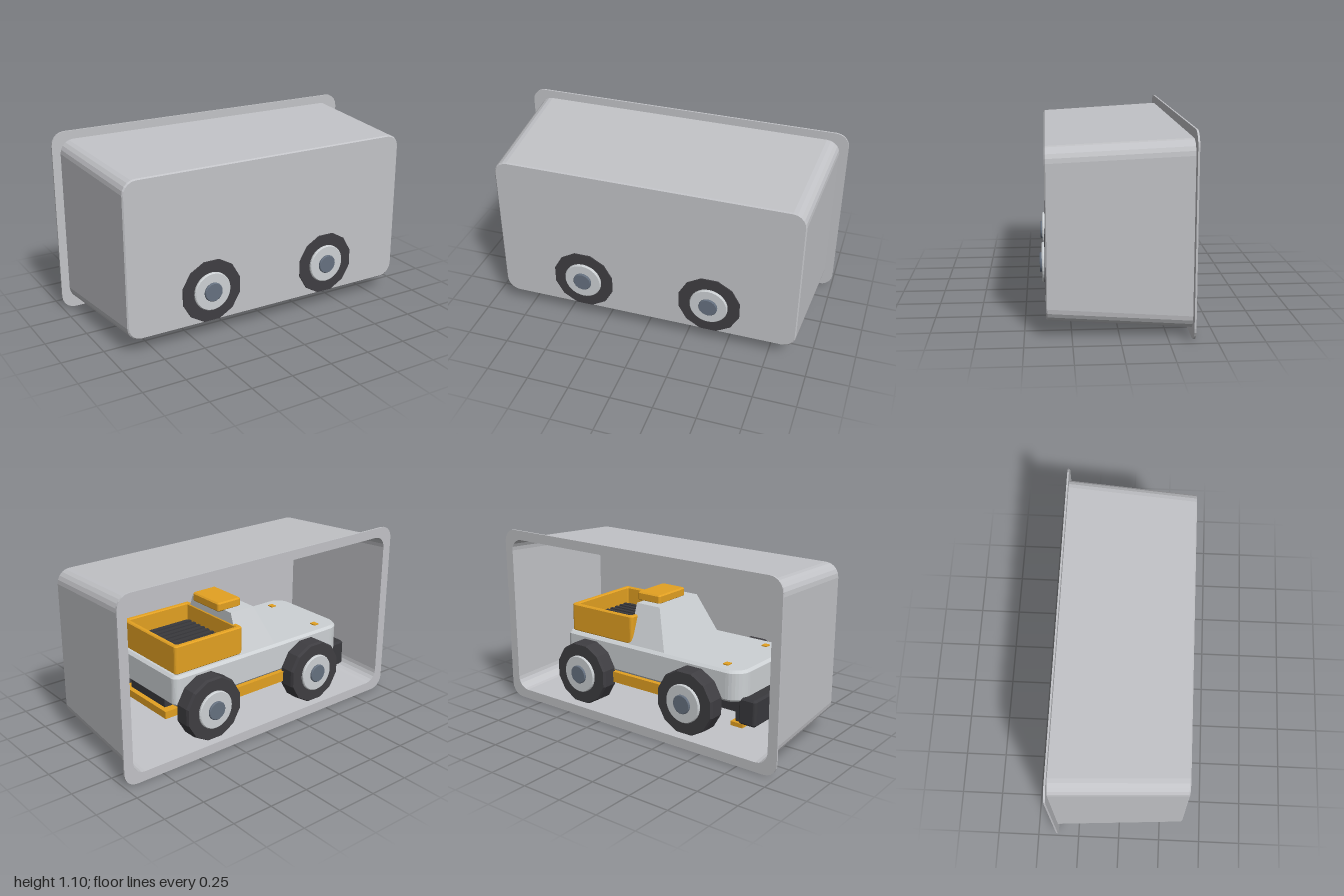
import * as THREE from 'three';

const paint = (name, color) => {
  const m = new THREE.MeshStandardMaterial({ color });
  m.name = name;
  return m;
};

// Separate the faces so every facet keeps a hard edge
function facet(geo) {
  const g = geo.index ? geo.toNonIndexed() : geo;
  g.computeVertexNormals();
  return g;
}

// Rounded rectangle as a shape, centred on the origin
function roundRect(hx, hy, rLeft, rRight, Type = THREE.Shape) {
  const s = new Type();
  s.absarc(hx - rRight, hy - rRight, rRight, 0, Math.PI / 2);
  s.absarc(-hx + rLeft, hy - rLeft, rLeft, Math.PI / 2, Math.PI);
  s.absarc(-hx + rLeft, -hy + rLeft, rLeft, Math.PI, Math.PI * 1.5);
  s.absarc(hx - rRight, -hy + rRight, rRight, Math.PI * 1.5, Math.PI * 2);
  s.closePath();
  return s;
}

// Plan outline extruded upwards with a small bevel
function slab(shape, y0, y1, bevel) {
  const g = new THREE.ExtrudeGeometry(shape, {
    depth: y1 - y0 - 2 * bevel, curveSegments: 4, bevelEnabled: bevel > 0,
    bevelSize: bevel, bevelOffset: -bevel, bevelThickness: bevel, bevelSegments: 1,
  });
  return g.rotateX(-Math.PI / 2).translate(0, y0 + bevel, 0);
}

// Skin stretched over rounded rectangles [halfX, halfY, radius, z]
function loft(sections, cy) {
  const steps = 5, n = 4 * (steps + 1), pos = [], idx = [];
  for (const [hx, hy, r, z] of sections) {
    [[1, 1], [-1, 1], [-1, -1], [1, -1]].forEach(([sx, sy], q) => {
      for (let k = 0; k <= steps; k++) {
        const a = (q + k / steps) * Math.PI / 2;
        pos.push(sx * (hx - r) + r * Math.cos(a), cy + sy * (hy - r) + r * Math.sin(a), z);
      }
    });
  }
  for (let i = 0; i < sections.length - 1; i++) {
    for (let j = 0; j < n; j++) {
      const a = i * n + j, b = i * n + (j + 1) % n;
      idx.push(a, b, b + n, a, b + n, a + n);
    }
  }
  const g = new THREE.BufferGeometry();
  g.setAttribute('position', new THREE.Float32BufferAttribute(pos, 3));
  g.setIndex(idx);
  return facet(g);
}

export function createModel() {
  const grey = paint('tray grey', 0xc2c3c7);
  const pale = paint('pale body grey', 0xcdd1d4);
  const yellow = paint('amber', 0xe3a122);
  const rubber = paint('tyre black', 0x3f3e42);
  const dark = paint('trim black', 0x39393d);
  const steel = paint('hub cap steel', 0x667180);

  const model = new THREE.Group();
  const truck = new THREE.Group();
  truck.name = 'truck';
  model.add(truck);
  const add = (name, geo, mat, parent = truck) => {
    const m = new THREE.Mesh(geo, mat);
    m.name = name;
    parent.add(m);
    return m;
  };
  const box = (name, mat, x0, x1, y0, y1, z0, z1) =>
    add(name, new THREE.BoxGeometry(x1 - x0, y1 - y0, z1 - z0)
      .translate((x0 + x1) / 2, (y0 + y1) / 2, (z0 + z1) / 2), mat);

  // Tapered tray, open at the back with a flat flange
  add('tray', loft([
    [0, 0, 0, 0.377],
    [0.9, 0.452, 0.075, 0.377],
    [0.942, 0.492, 0.075, -0.385],
    [1, 0.55, 0.08, -0.385],
    [1, 0.55, 0.08, -0.375],
    [0.95, 0.5, 0.08, -0.375],
    [0.909, 0.46, 0.08, 0.378],
    [0.902, 0.453, 0.075, 0.385],
    [0, 0, 0, 0.385],
  ], 0.55), grey, model);

  // Lower body with rounded nose corners
  add('body', slab(roundRect(0.645, 0.29, 0.1, 0.04), 0.31, 0.495, 0.015)
    .translate(-0.055, 0, 0), pale);

  // Cab: front and sides lean inwards
  const cab = new THREE.BoxGeometry(0.27, 0.24, 0.54).translate(-0.025, 0.61, 0);
  const p = cab.attributes.position;
  for (let i = 0; i < p.count; i++) {
    if (p.getY(i) > 0.6) {
      p.setZ(i, p.getZ(i) * 0.68);
      if (p.getX(i) < 0) p.setX(i, -0.06);
    }
  }
  add('cab', facet(cab), pale);
  add('roofBox', slab(roundRect(0.085, 0.125, 0.015, 0.015), 0.725, 0.78, 0.008)
    .translate(0.07, 0, 0), yellow);

  // Cargo bed
  const bed = roundRect(0.24, 0.265, 0.02, 0.02);
  bed.holes.push(roundRect(0.21, 0.235, 0.01, 0.01, THREE.Path));
  add('bedWalls', slab(bed, 0.495, 0.665, 0.006).translate(0.325, 0, 0), yellow);
  box('bedFloor', dark, 0.11, 0.54, 0.5, 0.56, -0.238, 0.238);
  for (let i = 0; i < 10; i++) {
    const z = -0.2 + i * 0.4 / 9;
    box('bedRib', dark, 0.115, 0.535, 0.56, 0.567, z - 0.01, z + 0.01);
  }

  // Chassis and bumpers
  box('chassis', dark, -0.7, 0.58, 0.21, 0.32, -0.17, 0.17);
  box('rearBumper', yellow, 0.52, 0.61, 0.22, 0.265, -0.22, 0.22);
  add('frontBumper', slab(roundRect(0.055, 0.25, 0.02, 0.01), 0.18, 0.34, 0.012)
    .translate(-0.72, 0, 0), dark);

  // Mirrored side details
  for (const s of [-1, 1]) {
    box('runningBoard', yellow, -0.23, 0.23, 0.245, 0.31, s * 0.26 - 0.045, s * 0.26 + 0.045);
    box('hoodMarker', yellow, -0.57, -0.535, 0.494, 0.501, s * 0.2 - 0.02, s * 0.2 + 0.02);
    box('frontStep', yellow, -0.68, -0.6, 0.15, 0.175, s * 0.19 - 0.04, s * 0.19 + 0.04);
    box('stepBracket', dark, -0.66, -0.62, 0.17, 0.32, s * 0.19 - 0.02, s * 0.19 + 0.02);
  }
  for (const x of [-0.39, 0.39]) box('axle', dark, x - 0.03, x + 0.03, 0.25, 0.31, -0.32, 0.32);

  // Wheels: faceted tyre, round hub, round cap
  const turn = (pts, sides) => new THREE.LatheGeometry(
    pts.map(([r, h]) => new THREE.Vector2(r, h)), sides);
  const tyre = facet(turn([[0, 0.265], [0.165, 0.265], [0.194, 0.29], [0.194, 0.372],
    [0.188, 0.39], [0, 0.39]], 12).rotateY(Math.PI / 12).rotateX(Math.PI / 2));
  const disc = (r, h0, h1, c) => facet(turn([[r, h0], [r, h1 - c], [r - c, h1], [0, h1]], 32)
    .rotateX(Math.PI / 2));
  const hub = disc(0.114, 0.38, 0.405, 0.005);
  const cap = disc(0.056, 0.4, 0.417, 0.004);
  for (const x of [-0.39, 0.39]) {
    for (const s of [0, 1]) {
      const wheel = new THREE.Group();
      wheel.name = 'wheel';
      wheel.position.set(x, 0.28, 0);
      wheel.rotation.y = s * Math.PI;
      add('tyre', tyre, rubber, wheel);
      add('hub', hub, pale, wheel);
      add('hubCap', cap, steel, wheel);
      truck.add(wheel);
    }
  }
  return model;
}
